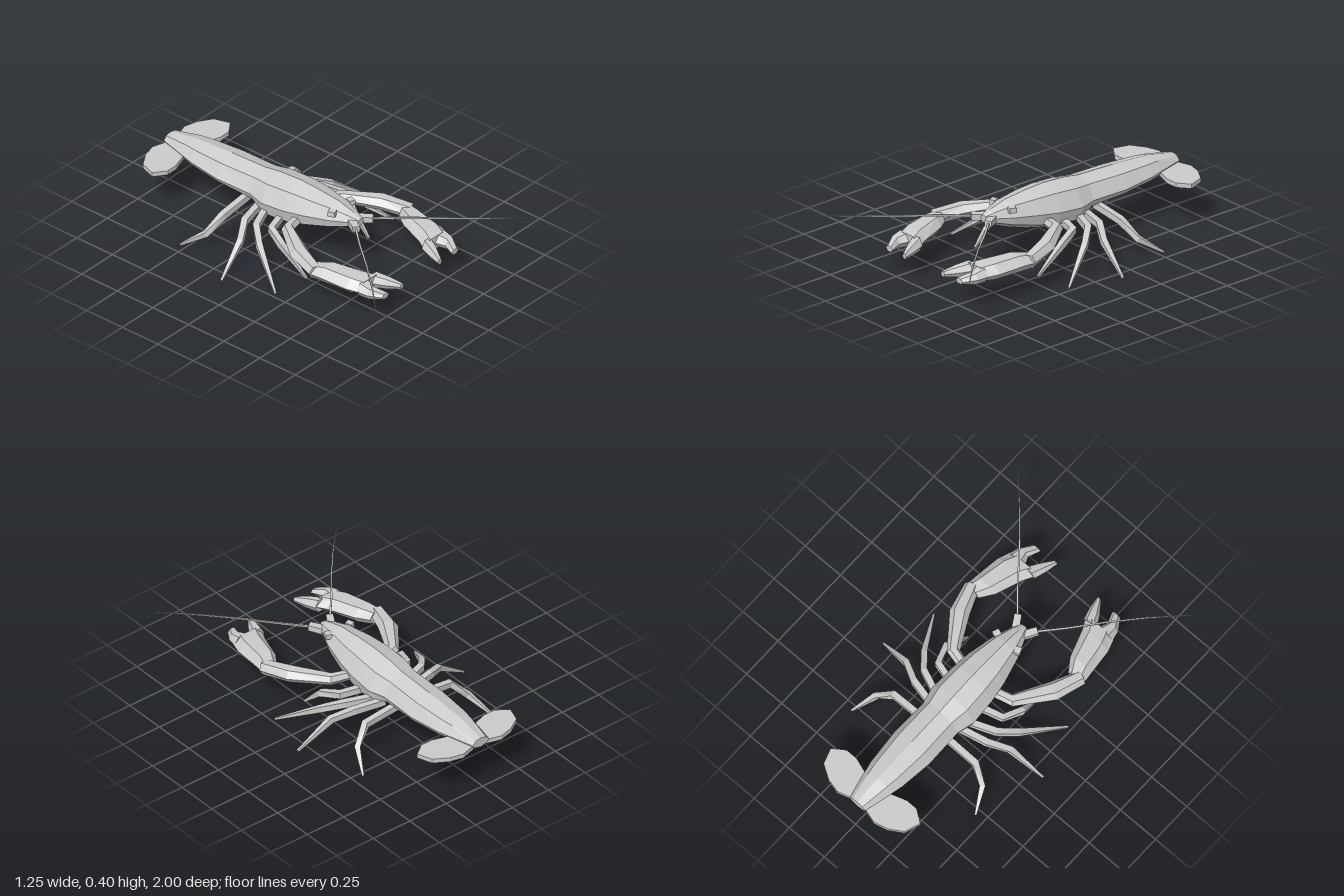
import * as THREE from 'three';

const material = new THREE.MeshStandardMaterial({ color: 0xcccccc, flatShading: true });
const V = (x, y, z) => new THREE.Vector3(x, y, z);

// Skin a list of equal-length rings into a closed, faceted solid
function loft(name, rings) {
  const tris = [];
  const n = rings[0].length;
  for (let i = 0; i + 1 < rings.length; i++) {
    for (let j = 0; j < n; j++) {
      const k = (j + 1) % n;
      const [a, b, c, d] = [rings[i][j], rings[i][k], rings[i + 1][k], rings[i + 1][j]];
      tris.push([a, b, c], [a, c, d]);
    }
  }
  const first = rings[0], last = rings[rings.length - 1];
  for (let j = 1; j + 1 < n; j++) {
    tris.push([first[0], first[j + 1], first[j]], [last[0], last[j], last[j + 1]]);
  }
  // Turn all faces outward, whichever way the rings run
  const volume = tris.reduce((s, [a, b, c]) => s + a.dot(V(0, 0, 0).crossVectors(b, c)), 0);
  const points = tris.flatMap(([a, b, c]) => (volume < 0 ? [a, c, b] : [a, b, c]));
  const geometry = new THREE.BufferGeometry().setFromPoints(points);
  geometry.computeVertexNormals();
  const mesh = new THREE.Mesh(geometry, material);
  mesh.name = name;
  return mesh;
}

// Limb through stations [x, y, z, halfWidth, halfHeight]; s mirrors it in x.
// With fixedAxis, the rings stay square to z instead of following the path.
function limb(name, s, stations, sides, fixedAxis = false) {
  const at = (i) => V(...stations[Math.max(0, Math.min(stations.length - 1, i))].slice(0, 3));
  const rings = stations.map(([x, y, z, w, h], i) => {
    const dir = fixedAxis ? V(0, 0, 1) : at(i + 1).sub(at(i - 1)).normalize();
    const side = V(0, 1, 0).cross(dir).normalize();
    const up = dir.clone().cross(side);
    return Array.from({ length: sides }, (_, j) => {
      const a = ((j + (sides === 4 ? 0.5 : 0)) / sides) * Math.PI * 2;
      const p = V(x, y, z).addScaledVector(side, Math.cos(a) * w).addScaledVector(up, Math.sin(a) * h);
      p.x *= s;
      return p;
    });
  });
  return loft(name, rings);
}

// Body stations: z, half width, top, widest height, bottom
const BODY = [
  [0.35, 0.025, 0.33, 0.31, 0.285],
  [0.3, 0.05, 0.352, 0.31, 0.262],
  [0.2, 0.09, 0.38, 0.3, 0.22],
  [0.05, 0.127, 0.394, 0.285, 0.17],
  [-0.07, 0.143, 0.4, 0.27, 0.14],
  [-0.22, 0.15, 0.39, 0.26, 0.128],
  [-0.32, 0.125, 0.374, 0.265, 0.2],
  [-0.55, 0.13, 0.366, 0.265, 0.215],
  [-0.75, 0.11, 0.354, 0.275, 0.23],
  [-0.82, 0.095, 0.348, 0.28, 0.238],
  [-0.985, 0.055, 0.315, 0.285, 0.255],
];

function body() {
  return loft('body', BODY.map(([z, w, top, mid, bottom]) => {
    const shoulder = top - 0.27 * (top - mid);
    const lower = mid - 0.55 * (mid - bottom);
    return [
      V(0, top, z), V(0.66 * w, shoulder, z), V(w, mid, z), V(0.88 * w, lower, z),
      V(0, bottom, z), V(-0.88 * w, lower, z), V(-w, mid, z), V(-0.66 * w, shoulder, z),
    ];
  }));
}

// Walking legs, front to rear
const LEGS = [
  [[0.09, 0.2, -0.12, 0.026, 0.026], [0.23, 0.195, -0.08, 0.026, 0.026],
    [0.275, 0.165, 0.03, 0.024, 0.024], [0.255, 0.01, 0.19, 0.008, 0.008]],
  [[0.09, 0.2, -0.23, 0.026, 0.026], [0.26, 0.195, -0.16, 0.026, 0.026],
    [0.34, 0.15, -0.07, 0.024, 0.024], [0.48, 0.01, 0.165, 0.008, 0.008]],
  [[0.09, 0.2, -0.28, 0.026, 0.026], [0.26, 0.195, -0.24, 0.026, 0.026],
    [0.37, 0.15, -0.175, 0.024, 0.024], [0.57, 0.01, -0.138, 0.008, 0.008]],
  [[0.08, 0.215, -0.37, 0.026, 0.026], [0.29, 0.19, -0.367, 0.026, 0.026],
    [0.38, 0.1, -0.41, 0.022, 0.022], [0.443, 0.01, -0.535, 0.008, 0.008]],
];

function clawArm(s) {
  const g = new THREE.Group();
  g.name = s > 0 ? 'leftClawArm' : 'rightClawArm';
  g.add(
    limb('upperArm', s, [
      [0.09, 0.225, -0.01, 0.03, 0.028], [0.21, 0.23, 0.02, 0.036, 0.032],
      [0.335, 0.215, 0.21, 0.055, 0.042], [0.39, 0.195, 0.37, 0.042, 0.042],
    ], 6),
    limb('palm', s, [
      [0.37, 0.19, 0.345, 0.052, 0.042], [0.34, 0.19, 0.42, 0.074, 0.053],
      [0.303, 0.18, 0.58, 0.093, 0.052], [0.272, 0.175, 0.65, 0.1, 0.045],
    ], 6, true),
    limb('outerFinger', s, [
      [0.315, 0.175, 0.64, 0.057, 0.045], [0.32, 0.168, 0.7, 0.038, 0.036],
      [0.284, 0.16, 0.77, 0.028, 0.018],
    ], 6, true),
    limb('innerFinger', s, [
      [0.22, 0.175, 0.63, 0.046, 0.044], [0.19, 0.168, 0.7, 0.036, 0.035],
      [0.156, 0.16, 0.775, 0.015, 0.018],
    ], 6, true),
  );
  return g;
}

function tailFan(s) {
  const outline = [
    [0.03, -0.97], [0.13, -1.0], [0.21, -0.98], [0.29, -0.93],
    [0.32, -0.84], [0.25, -0.79], [0.18, -0.79], [0.06, -0.83],
  ];
  const layer = (y) => outline.map(([x, z]) => V(s * x, y + 0.02 * (-0.79 - z), z));
  return loft('tailFan', [layer(0.247), layer(0.273)]);
}

function antenna(s) {
  const g = new THREE.Group();
  g.name = 'antenna';
  g.add(
    limb('antennaBase', s, [[0.02, 0.305, 0.3, 0.03, 0.026], [0.07, 0.31, 0.38, 0.028, 0.024]], 4),
    limb('antennaWhip', s, [
      [0.06, 0.31, 0.365, 0.008, 0.008], [0.18, 0.312, 0.5, 0.007, 0.007],
      [0.31, 0.312, 0.66, 0.006, 0.006], [0.46, 0.309, 0.83, 0.005, 0.005],
      [0.623, 0.305, 0.998, 0.002, 0.002],
    ], 4),
  );
  return g;
}

export function createModel() {
  const model = new THREE.Group();
  model.name = 'crustacean';
  model.add(body());
  for (const s of [1, -1]) {
    LEGS.forEach((stations, i) => model.add(limb(`walkingLeg${i + 1}`, s, stations, 4)));
    model.add(clawArm(s), tailFan(s), antenna(s));
    // Eye set into the side of the head
    const eye = new THREE.Mesh(new THREE.BoxGeometry(0.035, 0.03, 0.04), material);
    eye.name = 'eye';
    eye.position.set(s * 0.075, 0.347, 0.215);
    eye.rotation.y = -s * 0.35;
    model.add(eye);
  }
  return model;
}
